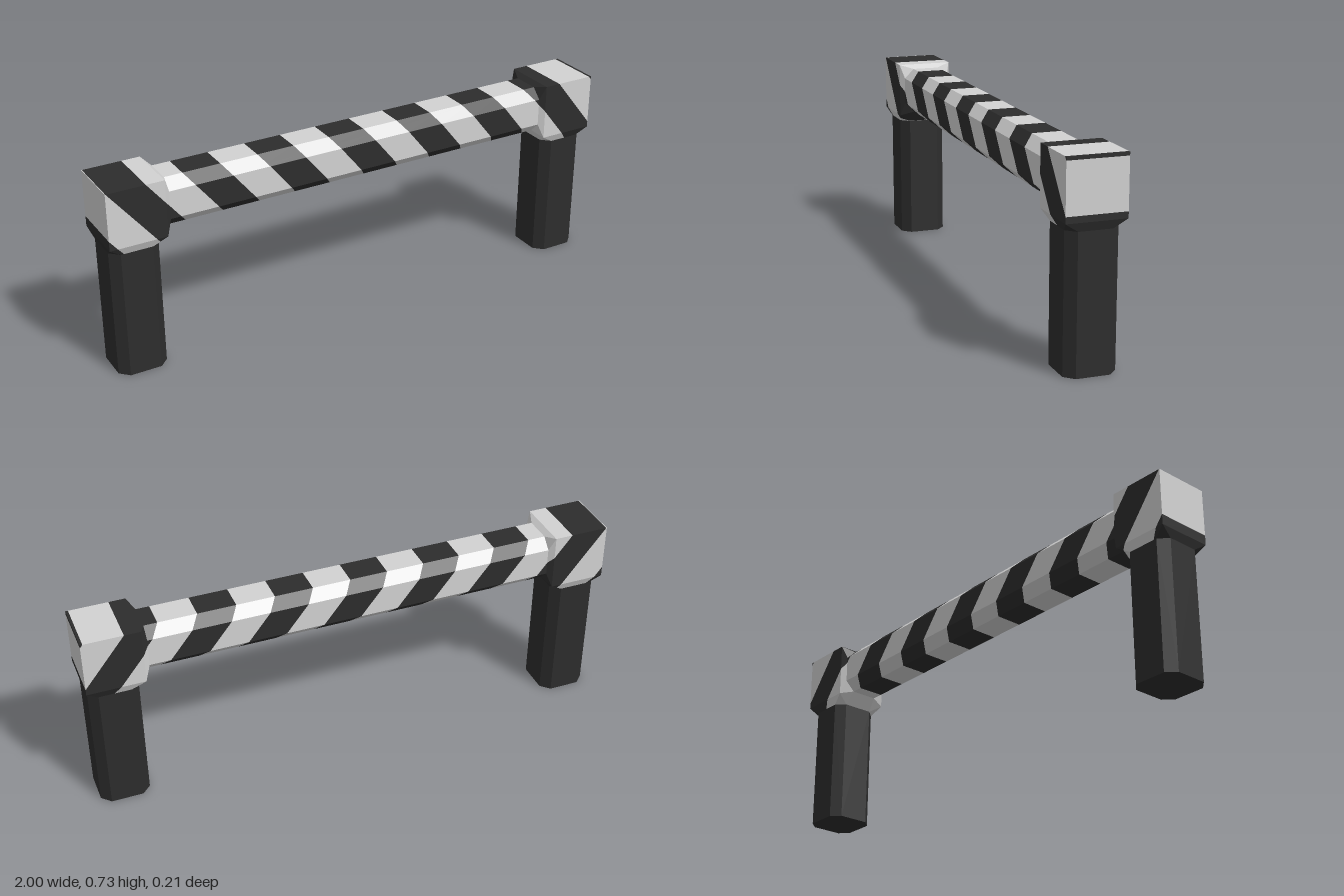
import * as THREE from 'three';
import { ConvexGeometry } from 'three/addons/geometries/ConvexGeometry.js';

const black = new THREE.MeshStandardMaterial({ color: 0x2d2d2d });
black.name = 'charcoal black';
const grey = new THREE.MeshStandardMaterial({ color: 0xd2d2d2 });
grey.name = 'light grey';

const BAR_Y = 0.621, LEG_X = 0.898, CUBE_X = 0.894, CUBE = 0.106;
const LEG_TOP = 0.484, BAR_END = 0.768;

// Chamfered square outline shared by the bar and the legs
function octagon(half, flat) {
  return [[half, flat], [flat, half], [-flat, half], [-half, flat],
    [-half, -flat], [-flat, -half], [flat, -half], [half, -flat]];
}
const barRing = (x) => octagon(0.09, 0.052).map(([y, z]) => new THREE.Vector3(x, BAR_Y + y, z));
const legRing = (x, y) => octagon(0.092, 0.059).map(([a, z]) => new THREE.Vector3(x + a, y, z));

// Diagonal stripes: black and grey bands alternate along x + SLOPE * y
const SLOPE = 0.8, PERIOD = 0.284, BLACK_WIDTH = 0.142, START = -0.7 + SLOPE * 0.71;
const along = (p) => p.x + SLOPE * p.y;

// Keep the part of a polygon on one side of a stripe edge
function clip(poly, edge, side) {
  const out = [];
  poly.forEach((p, i) => {
    const q = poly[(i + 1) % poly.length];
    const dp = side * (along(p) - edge), dq = side * (along(q) - edge);
    if (dp >= 0) out.push(p);
    if (dp * dq < 0) out.push(p.clone().lerp(q, dp / (dp - dq)));
  });
  return out;
}

// Cut a solid's faces along the stripe edges into one black and one grey mesh
function striped(name, geometry) {
  const pos = geometry.getAttribute('position');
  const corners = { black: [], grey: [] };
  for (let i = 0; i < pos.count; i += 3) {
    const tri = [0, 1, 2].map((k) => new THREE.Vector3().fromBufferAttribute(pos, i + k));
    for (let n = -3; n < 9; n++) {
      const a = START + n * PERIOD, b = a + BLACK_WIDTH, c = a + PERIOD;
      for (const [colour, lo, hi] of [['black', a, b], ['grey', b, c]]) {
        const poly = clip(clip(tri, lo, 1), hi, -1);
        for (let k = 1; k < poly.length - 1; k++) corners[colour].push(poly[0], poly[k], poly[k + 1]);
      }
    }
  }
  const group = new THREE.Group();
  group.name = name;
  for (const [colour, material] of [['black', black], ['grey', grey]]) {
    const g = new THREE.BufferGeometry().setFromPoints(corners[colour]);
    g.computeVertexNormals();
    const mesh = new THREE.Mesh(g, material);
    mesh.name = `${name} ${colour} stripes`;
    group.add(mesh);
  }
  return group;
}

export function createModel() {
  const model = new THREE.Group();
  model.name = 'striped barrier';

  // Horizontal bar
  model.add(striped('crossbar', new ConvexGeometry([...barRing(-BAR_END), ...barRing(BAR_END)])));

  for (const [side, s] of [['left', 1], ['right', -1]]) {
    // Cube joint tapering down to the leg and inwards to the bar
    const cube = [];
    for (const x of [-CUBE, CUBE]) for (const y of [-CUBE, CUBE]) for (const z of [-CUBE, CUBE]) {
      cube.push(new THREE.Vector3(s * CUBE_X + x, BAR_Y + y, z));
    }
    const joint = [...cube, ...barRing(s * BAR_END), ...legRing(s * LEG_X, LEG_TOP)];
    model.add(striped(`${side} joint`, new ConvexGeometry(joint)));

    // Plain leg
    const leg = new THREE.Mesh(
      new ConvexGeometry([...legRing(s * LEG_X, 0), ...legRing(s * LEG_X, LEG_TOP)]), black);
    leg.name = `${side} leg`;
    model.add(leg);
  }
  return model;
}
